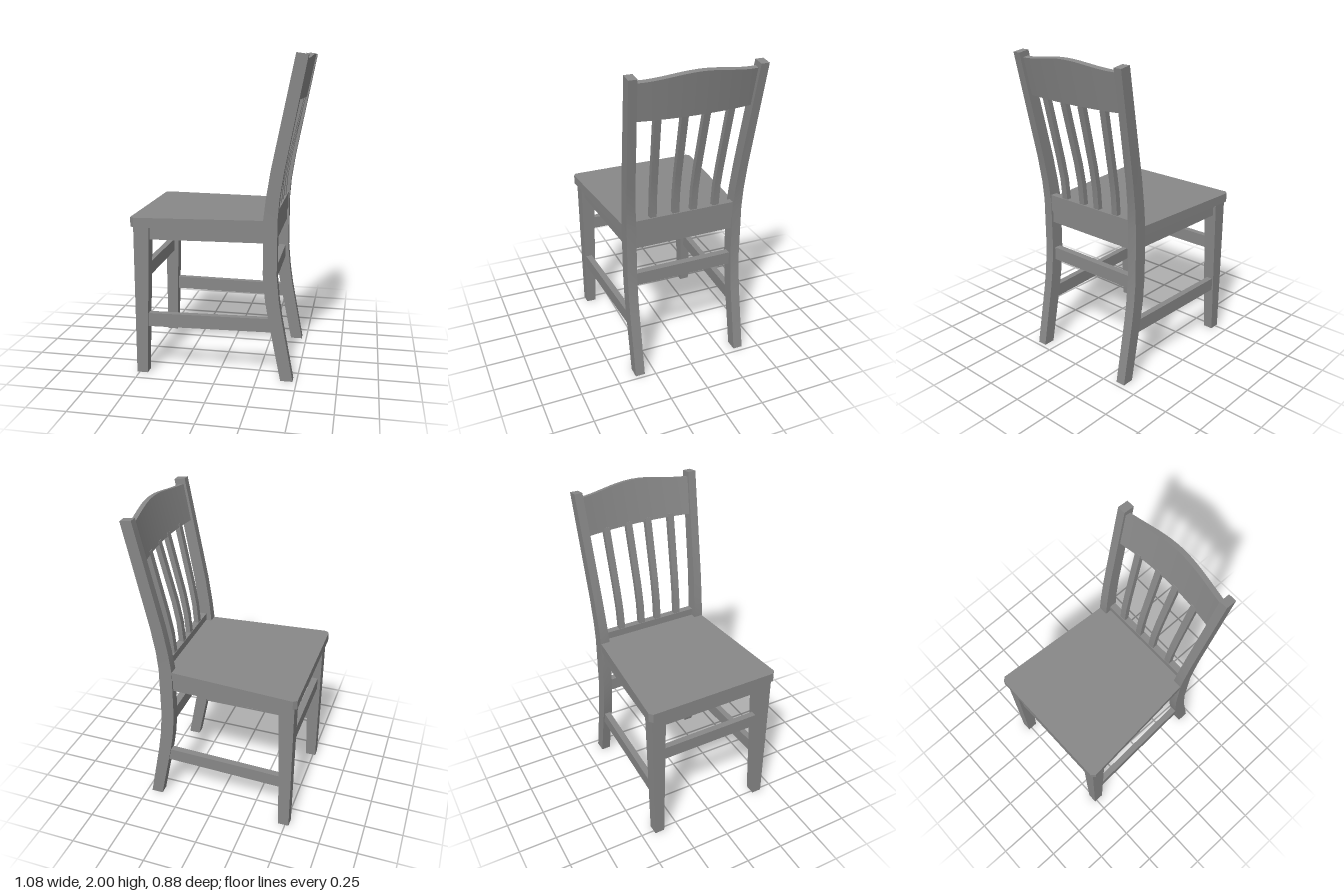
import * as THREE from 'three';
import { toCreasedNormals } from 'three/addons/utils/BufferGeometryUtils.js';

const material = new THREE.MeshStandardMaterial({ color: 0x888888 });

// Closed solid through a row of four-cornered cross-sections
function loft(rings) {
  const pos = rings.flat(2), idx = [], last = (rings.length - 1) * 4;
  for (let r = 0; r < last; r += 4) {
    for (let i = 0; i < 4; i++) {
      const a = r + i, b = r + (i + 1) % 4;
      idx.push(a, b, b + 4, a, b + 4, a + 4);
    }
  }
  idx.push(0, 2, 1, 0, 3, 2, last, last + 1, last + 2, last, last + 2, last + 3);

  // Turn the faces outward whichever way the sections were listed
  const v = i => new THREE.Vector3().fromArray(pos, i * 3);
  let volume = 0;
  for (let i = 0; i < idx.length; i += 3) {
    volume += v(idx[i]).dot(v(idx[i + 1]).cross(v(idx[i + 2])));
  }
  if (volume < 0) idx.reverse();

  const geo = new THREE.BufferGeometry();
  geo.setAttribute('position', new THREE.Float32BufferAttribute(pos, 3));
  geo.setIndex(idx);
  return toCreasedNormals(geo, 0.12);
}

// Cross-sections lying flat (for uprights) and upright (for side rails)
const flat = (y, x0, x1, z0, z1, yBack = y) =>
  [[x0, y, z0], [x1, yBack, z0], [x1, yBack, z1], [x0, y, z1]];
const upright = (x, y0, y1, z0, z1) =>
  [[x, y0, z0], [x, y1, z0], [x, y1, z1], [x, y0, z1]];
const mirrorZ = rings => rings.map(r => r.map(([x, y, z]) => [x, y, -z]));

export function createModel() {
  const chair = new THREE.Group();
  chair.name = 'chair';
  const add = (name, geo) => {
    const mesh = new THREE.Mesh(geo, material);
    mesh.name = name;
    chair.add(mesh);
    return mesh;
  };
  const pair = (name, rings) => {
    add(name + 'Left', loft(rings));
    add(name + 'Right', loft(mirrorZ(rings)));
  };
  const box = (name, x0, x1, y0, y1, halfZ) => {
    add(name, new THREE.BoxGeometry(x1 - x0, y1 - y0, halfZ * 2))
      .position.set((x0 + x1) / 2, (y0 + y1) / 2, 0);
  };

  // Seat: tapered board, clipped front corners, tongue between the back posts
  const half = [[-0.537, 0.421], [-0.513, 0.441], [0.28, 0.384], [0.28, 0.33], [0.36, 0.33]];
  const outline = [...half, ...half.map(([x, z]) => [x, -z]).reverse()];
  const seat = new THREE.ExtrudeGeometry(
    new THREE.Shape(outline.map(([x, z]) => new THREE.Vector2(x, z))),
    { depth: 0.06, bevelEnabled: false });
  seat.rotateX(-Math.PI / 2);
  add('seat', seat).position.y = 0.957;

  // Legs
  pair('frontLeg', [
    flat(0, -0.52, -0.45, 0.35, 0.415),
    flat(0.96, -0.52, -0.422, 0.33, 0.42),
  ]);
  pair('backPost', [
    flat(0, 0.395, 0.472, 0.325, 0.387),
    flat(0.4, 0.314, 0.397, 0.325, 0.387),
    flat(0.52, 0.294, 0.379, 0.325, 0.387),
    flat(0.68, 0.279, 0.364, 0.325, 0.387),
    flat(1.02, 0.278, 0.364, 0.325, 0.387),
    flat(1.15, 0.293, 0.374, 0.331, 0.39),
    flat(1.32, 0.32, 0.4, 0.339, 0.395),
    flat(2, 0.459, 0.53, 0.367, 0.419, 1.99),
  ]);

  // Aprons under the seat and stretchers between the legs
  pair('sideApron', [
    upright(-0.44, 0.875, 0.957, 0.358, 0.401),
    upright(0.3, 0.875, 0.957, 0.328, 0.371),
  ]);
  pair('sideStretcher', [
    upright(-0.46, 0.312, 0.398, 0.367, 0.408),
    upright(0.34, 0.312, 0.398, 0.337, 0.378),
  ]);
  box('frontApron', -0.5, -0.455, 0.875, 0.957, 0.35);
  box('backApron', 0.305, 0.35, 0.875, 0.957, 0.34);
  box('frontStretcher', -0.5, -0.46, 0.605, 0.69, 0.36);
  box('backStretcher', 0.3, 0.345, 0.605, 0.69, 0.34);
  box('lowerBackRail', 0.316, 0.36, 1.01, 1.065, 0.335);

  // Crest rail: bowed backward, leaning, with an arched top edge
  const bow = z => 0.035 * (1 - (z / 0.37) ** 2);
  const crest = [];
  for (let i = 0; i <= 20; i++) {
    const z = -0.37 + 0.037 * i;
    const top = 1.966 + 0.017 * (1 + Math.cos(Math.PI * z / 0.37));
    const x0 = 0.418 + bow(z), x1 = x0 + 0.207 * (top - 1.73);
    crest.push([[x0, 1.73, z], [x0 + 0.036, 1.73, z], [x1 + 0.034, top - 0.006, z], [x1, top, z]]);
  }
  add('crestRail', loft(crest));

  // Bent slats, fanning out slightly towards the top
  for (const [name, zLow, zHigh] of [['innerSlat', 0.06, 0.069], ['outerSlat', 0.209, 0.229]]) {
    const xTop = 0.42 + bow(zHigh);
    const slat = (y, t, x) => {
      const z = THREE.MathUtils.lerp(zLow, zHigh, t);
      return flat(y, x, x + 0.033, z - 0.021, z + 0.021);
    };
    pair(name, [
      slat(1.06, 0, 0.319), slat(1.2, 0.1, 0.331), slat(1.34, 0.3, 0.356), slat(1.75, 1, xTop),
    ]);
  }

  // The whole chair stands very slightly turned
  chair.rotation.y = 0.01;
  chair.position.z = -0.003;
  const model = new THREE.Group();
  model.add(chair);
  return model;
}
